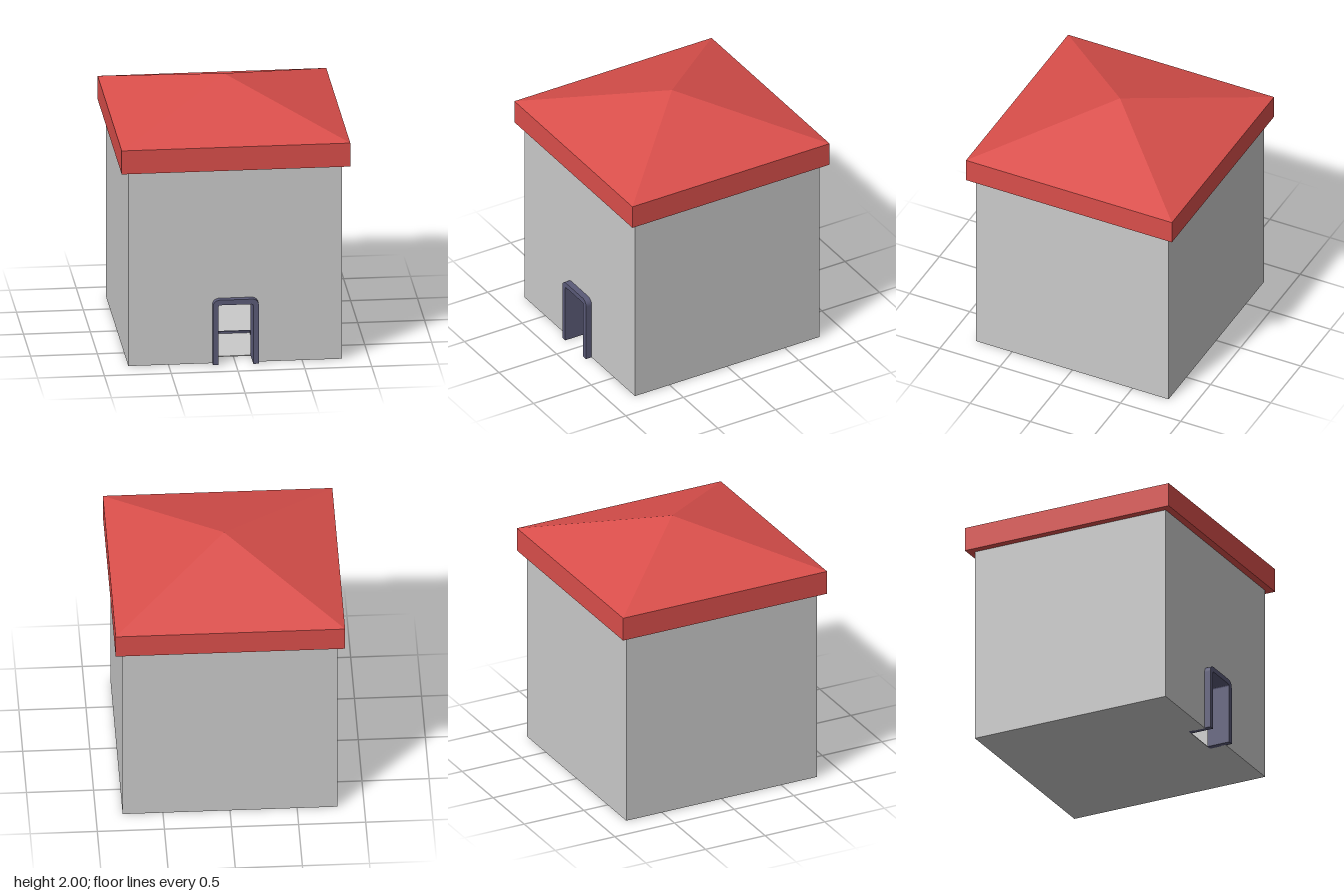
import * as THREE from 'three';

const HALF = 0.8;      // outer half width of the walls
const WALL = 0.135;    // wall thickness
const EAVE = 1.53;     // underside of the roof
const ROOF = 0.855;    // half width of the roof

const material = (name, color) => {
  const m = new THREE.MeshStandardMaterial({ color });
  m.name = name;
  return m;
};

// Traces an upright doorway with rounded top corners, standing on y = 0
function traceDoorway(path, half, top, radius) {
  path.lineTo(-half, 0);
  path.lineTo(-half, top - radius);
  path.absarc(-half + radius, top - radius, radius, Math.PI, Math.PI / 2, true);
  path.lineTo(half - radius, top);
  path.absarc(half - radius, top - radius, radius, Math.PI / 2, 0, true);
  path.lineTo(half, 0);
}

export function createModel() {
  const group = new THREE.Group();
  const wallGrey = material('wallGrey', 0xcacaca);
  const roofRed = material('roofRed', 0xda4f4b);
  const frameSlate = material('frameSlate', 0x5b5b78);

  const add = (name, geometry, mat, x = 0, y = 0, z = 0) => {
    const mesh = new THREE.Mesh(geometry, mat);
    mesh.name = name;
    mesh.position.set(x, y, z);
    group.add(mesh);
    return mesh;
  };
  const box = (name, mat, w, h, d, x, y, z) =>
    add(name, new THREE.BoxGeometry(w, h, d), mat, x, y, z);

  // Front wall with the doorway cut out
  const front = new THREE.Shape();
  front.moveTo(-HALF, 0);
  traceDoorway(front, 0.165, 0.5, 0.04);
  front.lineTo(HALF, 0);
  front.lineTo(HALF, EAVE);
  front.lineTo(-HALF, EAVE);
  front.closePath();
  add('frontWall', new THREE.ExtrudeGeometry(front, { depth: WALL, bevelEnabled: false, curveSegments: 6 }),
    wallGrey, 0, 0, HALF - WALL);

  // Back wall, side walls and floor of the hollow room
  box('backWall', wallGrey, HALF * 2, EAVE, WALL, 0, EAVE / 2, -HALF + WALL / 2);
  const sideDepth = 2 * (HALF - WALL);
  for (const s of [-1, 1]) {
    box(s > 0 ? 'leftWall' : 'rightWall', wallGrey, WALL, EAVE, sideDepth, s * (HALF - WALL / 2), EAVE / 2, 0);
  }
  box('floor', wallGrey, sideDepth, 0.006, sideDepth, 0, 0.003, 0);

  // Door frame lining the opening and standing proud of the wall
  const frame = new THREE.Shape();
  frame.moveTo(-0.172, 0);
  traceDoorway(frame, 0.172, 0.51, 0.05);
  frame.lineTo(0.13, 0);
  frame.lineTo(0.13, 0.455);
  frame.quadraticCurveTo(0.13, 0.47, 0.115, 0.47);
  frame.lineTo(-0.115, 0.47);
  frame.quadraticCurveTo(-0.13, 0.47, -0.13, 0.455);
  frame.lineTo(-0.13, 0);
  frame.closePath();
  add('doorFrame', new THREE.ExtrudeGeometry(frame, { depth: 0.183, bevelEnabled: false, curveSegments: 6 }),
    frameSlate, 0, 0, 0.665);

  // Low rails on the floor behind the doorway
  for (const s of [-1, 1]) {
    box('floorRail', frameSlate, 0.02, 0.02, 0.5, s * 0.185, 0.011, 0.41);
  }
  box('floorRailEnd', frameSlate, 0.39, 0.02, 0.02, 0, 0.011, 0.15);

  // Roof: square fascia block with a shallow pyramid
  const fascia = 0.185;
  box('roofBase', roofRed, ROOF * 2, fascia, ROOF * 2, 0, EAVE + fascia / 2, 0);
  const rise = 2 - EAVE - fascia;
  const pyramid = new THREE.ConeGeometry(ROOF * Math.SQRT2, rise, 4, 1, true)
    .rotateY(Math.PI / 4).toNonIndexed();
  pyramid.computeVertexNormals();
  add('roofPyramid', pyramid, roofRed, 0, EAVE + fascia + rise / 2, 0);

  return group;
}
